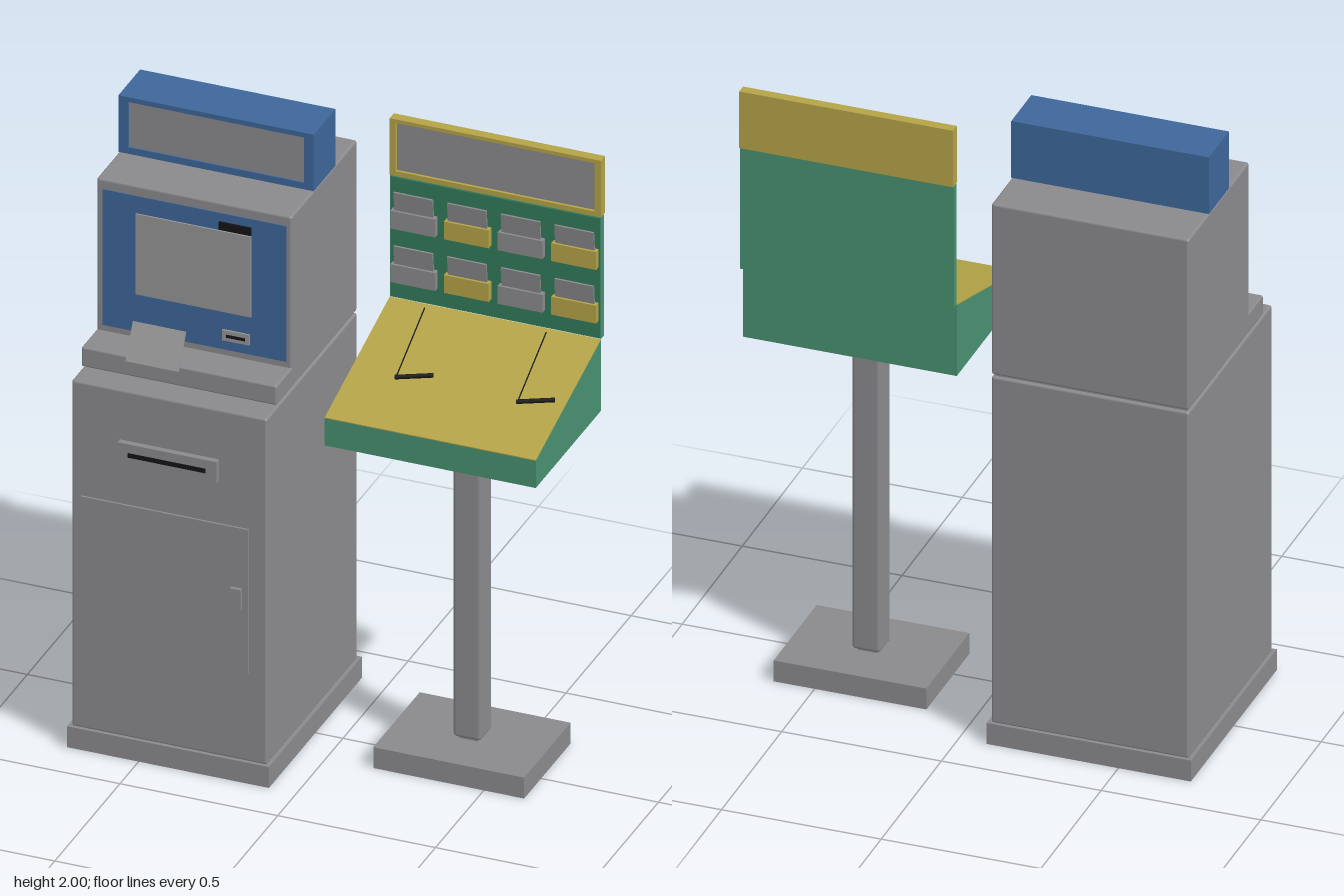
import * as THREE from 'three';
import { RoundedBoxGeometry } from 'three/addons/geometries/RoundedBoxGeometry.js';

export function createModel() {
  const root = new THREE.Group();
  const material = (name, color) => {
    const m = new THREE.MeshStandardMaterial({ color });
    m.name = name;
    return m;
  };
  const grey = material('grey', 0x8a8a8d);
  const lightGrey = material('light grey', 0x969696);
  const blue = material('blue', 0x3d6699);
  const green = material('green', 0x489070);
  const darkGreen = material('dark green', 0x327a58);
  const yellow = material('yellow', 0xb3a347);
  const black = material('black', 0x141416);

  const add = (parent, name, geometry, mat) => {
    const mesh = new THREE.Mesh(geometry, mat);
    mesh.name = name;
    parent.add(mesh);
    return mesh;
  };
  // Box from its lower and upper limits; a bevel rounds the edges
  const box = (parent, name, mat, [x0, x1], [y0, y1], [z0, z1], bevel = 0) => {
    const s = [x1 - x0, y1 - y0, z1 - z0];
    const g = bevel ? new RoundedBoxGeometry(...s, 2, bevel) : new THREE.BoxGeometry(...s);
    const mesh = add(parent, name, g, mat);
    mesh.position.set((x0 + x1) / 2, (y0 + y1) / 2, (z0 + z1) / 2);
    return mesh;
  };
  // Side outline in (z, y), extruded from x0 to x1
  const sideProfile = (parent, name, mat, points, x0, x1) => {
    const shape = new THREE.Shape(points.map(([z, y]) => new THREE.Vector2(z, y)));
    const g = new THREE.ExtrudeGeometry(shape, { depth: x1 - x0, bevelEnabled: false });
    g.rotateY(-Math.PI / 2).translate(x1, 0, 0);
    return add(parent, name, g, mat);
  };
  // Rectangular frame with an opening, extruded from z0 to z1
  const frame = (parent, name, mat, [x0, x1], [y0, y1], [ix0, ix1], [iy0, iy1], [z0, z1]) => {
    const rect = (a, b, c, d) => [[a, c], [b, c], [b, d], [a, d]].map(p => new THREE.Vector2(...p));
    const shape = new THREE.Shape(rect(x0, x1, y0, y1));
    shape.holes.push(new THREE.Path(rect(ix0, ix1, iy0, iy1)));
    const g = new THREE.ExtrudeGeometry(shape, { depth: z1 - z0, bevelEnabled: false });
    return add(parent, name, g.translate(0, 0, z0), mat);
  };
  const group = (name) => {
    const g = new THREE.Group();
    g.name = name;
    root.add(g);
    return g;
  };

  // Kiosk cabinet
  const kiosk = group('kiosk');
  const wide = [-0.717, -0.098];
  box(kiosk, 'plinth', grey, [-0.727, -0.087], [0, 0.07], [-0.357, 0.357]);
  box(kiosk, 'cabinet', grey, wide, [0.068, 1.23], [-0.347, 0.347], 0.008);
  box(kiosk, 'door', grey, [-0.685, -0.155], [0.365, 0.85], [0.34, 0.354]);
  box(kiosk, 'doorHandle', grey, [-0.208, -0.174], [0.58, 0.65], [0.35, 0.366]);
  box(kiosk, 'slotPlate', grey, [-0.563, -0.25], [0.99, 1.064], [0.34, 0.366]);
  box(kiosk, 'slot', black, [-0.53, -0.284], [1.021, 1.035], [0.364, 0.369]);

  // Kiosk head with screen
  box(kiosk, 'neckSeam', grey, [-0.707, -0.108], [1.22, 1.245], [-0.337, 0.145]);
  box(kiosk, 'head', grey, wide, [1.237, 1.81], [-0.347, 0.155], 0.008);
  box(kiosk, 'ledge', grey, wide, [1.237, 1.302], [0.14, 0.272], 0.006);
  box(kiosk, 'facePanel', blue, [-0.696, -0.114], [1.322, 1.777], [0.152, 0.158]);
  box(kiosk, 'screen', lightGrey, [-0.59, -0.225], [1.45, 1.72], [0.154, 0.163]);
  box(kiosk, 'cameraStrip', black, [-0.326, -0.225], [1.724, 1.75], [0.154, 0.164]);
  box(kiosk, 'cardReader', lightGrey, [-0.316, -0.23], [1.355, 1.39], [0.154, 0.164]);
  box(kiosk, 'cardSlot', black, [-0.302, -0.242], [1.368, 1.377], [0.162, 0.167]);
  // Slip of paper leaning back over the ledge
  const slip = box(kiosk, 'paperSlip', lightGrey, [-0.573, -0.405], [1.282, 1.402], [0.249, 0.253]);
  slip.rotation.x = -0.49;

  // Lit header box on top
  box(kiosk, 'headerBox', blue, wide, [1.81, 2], [-0.18, -0.022]);
  frame(kiosk, 'headerFrame', blue, wide, [1.81, 2], [-0.686, -0.129], [1.832, 1.984], [-0.022, -0.013]);
  box(kiosk, 'headerPanel', grey, [-0.686, -0.129], [1.832, 1.984], [-0.024, -0.018]);

  // Stand: foot and post
  const stand = group('stand');
  const deskX = [0.055, 0.724];
  box(stand, 'foot', grey, [0.15, 0.628], [0, 0.07], [-0.226, 0.13]);
  box(stand, 'postCore', grey, [0.36, 0.42], [0.06, 1.145], [-0.078, -0.018]);
  box(stand, 'post', grey, [0.345, 0.435], [0.078, 1.13], [-0.094, -0.004], 0.012);

  // Sloping desk
  box(stand, 'deskTray', green, deskX, [1.138, 1.205], [-0.226, 0.273]);
  sideProfile(stand, 'deskWedge', green,
    [[0.273, 1.205], [0.273, 1.229], [-0.226, 1.376], [-0.226, 1.205]], ...deskX);
  sideProfile(stand, 'deskTop', yellow,
    [[0.273, 1.229], [0.273, 1.232], [-0.226, 1.379], [-0.226, 1.376]], ...deskX);

  // Back board and header sign
  box(stand, 'backBoard', green, deskX, [1.379, 1.786], [-0.25, -0.228]);
  box(stand, 'boardFace', darkGreen, [0.058, 0.721], [1.382, 1.783], [-0.23, -0.226]);
  box(stand, 'signBack', yellow, deskX, [1.788, 1.978], [-0.258, -0.24]);
  frame(stand, 'signFrame', yellow, deskX, [1.788, 1.978], [0.074, 0.704], [1.804, 1.966], [-0.24, -0.226]);
  box(stand, 'signPanel', grey, [0.074, 0.704], [1.804, 1.966], [-0.242, -0.235]);

  // Two rows of leaflet pockets, alternating grey and yellow
  for (const y of [1.44, 1.62]) {
    for (let i = 0; i < 4; i++) {
      const x = 0.136 + i * 0.17;
      const pocketMat = i % 2 ? yellow : grey;
      box(stand, 'leafletPocket', pocketMat, [x - 0.071, x + 0.071], [y, y + 0.06], [-0.228, -0.206]);
      const card = box(stand, 'leaflet', grey, [x - 0.062, x + 0.062], [y + 0.01, y + 0.122], [-0.219, -0.213]);
      card.rotation.x = 0.1;
    }
  }

  // Pens on cords
  const rod = (name, a, b, r) => {
    const from = new THREE.Vector3(...a), to = new THREE.Vector3(...b);
    const dir = to.clone().sub(from);
    const mesh = add(stand, name, new THREE.CylinderGeometry(r, r, dir.length(), 8), black);
    mesh.position.copy(from).add(to).multiplyScalar(0.5);
    mesh.quaternion.setFromUnitVectors(new THREE.Vector3(0, 1, 0), dir.normalize());
  };
  for (const dx of [0, 0.385]) {
    rod('penCord', [0.173 + dx, 1.375, -0.208], [0.2 + dx, 1.296, 0.077], 0.002);
    rod('pen', [0.197 + dx, 1.297, 0.079], [0.305 + dx, 1.308, 0.044], 0.007);
  }
  return root;
}
